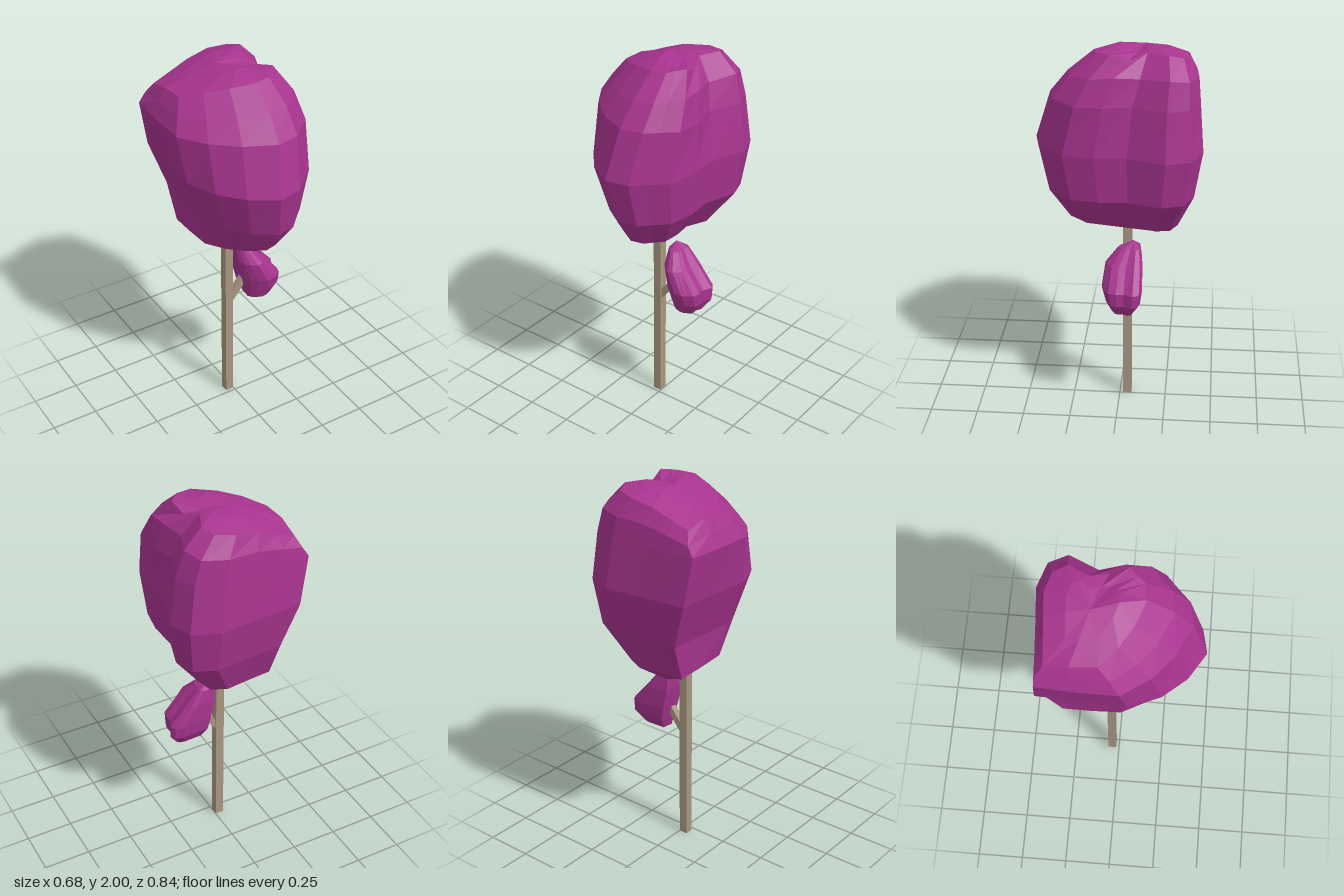
import * as THREE from 'three';

const leafMaterial = new THREE.MeshStandardMaterial({ color: 0xa8348f, flatShading: true });
const woodMaterial = new THREE.MeshStandardMaterial({ color: 0xa8967f, flatShading: true });

// Lopsided foliage outline in unit x/z: back left corner, back, right (with a groove), front, left
const outline = [
  [-0.93, -0.91], [-0.55, -0.93], [-0.08, -0.96], [0.45, -1], [0.87, -0.87], [1, -0.58],
  [0.8, -0.13], [0.84, 0.25], [0.75, 0.62], [0.49, 0.8], [0.3, 0.94], [-0.07, 1],
  [-0.49, 0.8], [-0.8, 0.52], [-1, 0.15], [-0.96, -0.4],
];

// Stacks scaled outlines between two tips.
// Ring: [y, xMin, xMax, zMin, zMax, tilt, shift of the front towards +x]
function foliage(name, bottom, rings, top, adjustY = (x, y) => y) {
  const n = outline.length;
  const positions = [...bottom];
  for (const [y, x0, x1, z0, z1, tilt = 0, shift = 0] of rings) {
    for (const [u, v] of outline) {
      const x = (x0 + x1) / 2 + (u * (x1 - x0)) / 2 + shift * Math.max(0, v);
      const z = (z0 + z1) / 2 + (v * (z1 - z0)) / 2;
      positions.push(x, adjustY(x, y + tilt * z, z), z);
    }
  }
  positions.push(...top);

  const index = [];
  const last = 1 + rings.length * n;
  for (let j = 0; j < n; j++) {
    const k = (j + 1) % n;
    index.push(0, 1 + j, 1 + k);
    for (let i = 0; i < rings.length - 1; i++) {
      const a = 1 + i * n + j, b = 1 + i * n + k;
      index.push(a, a + n, b, b, a + n, b + n);
    }
    index.push(last - n + j, last, last - n + k);
  }
  const indexed = new THREE.BufferGeometry();
  indexed.setAttribute('position', new THREE.Float32BufferAttribute(positions, 3));
  indexed.setIndex(index);
  const geometry = indexed.toNonIndexed();
  geometry.computeVertexNormals();
  const mesh = new THREE.Mesh(geometry, leafMaterial);
  mesh.name = name;
  return mesh;
}

// Square beam from one point to another
function beam(name, from, to, width) {
  const a = new THREE.Vector3(...from), b = new THREE.Vector3(...to);
  const mesh = new THREE.Mesh(new THREE.BoxGeometry(width, a.distanceTo(b), width), woodMaterial);
  mesh.position.copy(a).add(b).multiplyScalar(0.5);
  mesh.quaternion.setFromUnitVectors(new THREE.Vector3(0, 1, 0), b.clone().sub(a).normalize());
  mesh.name = name;
  return mesh;
}

// Crown top: falls to the left, front and back, with a notch on the right between two lobes
function crownTop(x, y, z) {
  const amount = Math.max(0, (y - 1.75) / 0.25);
  const fall = 0.4 * Math.max(0, -x) + 0.25 * Math.max(0, z) + 0.3 * Math.max(0, -0.2 - z);
  const notch = 0.05 * THREE.MathUtils.clamp(x / 0.15, 0, 1) * Math.exp(-(((z + 0.07) / 0.07) ** 2));
  return y - amount * (fall + notch);
}

export function createModel() {
  const tree = new THREE.Group();
  tree.name = 'tree';

  tree.add(beam('trunk', [-0.024, 0, -0.04], [-0.024, 1.1, -0.04], 0.046));
  tree.add(beam('branch', [-0.024, 0.61, -0.04], [0.11, 0.78, -0.04], 0.035));

  tree.add(foliage('crown', [-0.02, 0.98, -0.19], [
    [1.085, -0.2, 0.17, -0.3, 0.26, 0.08, 0.05],
    [1.26, -0.22, 0.31, -0.38, 0.365],
    [1.5, -0.305, 0.345, -0.42, 0.42],
    [1.75, -0.35, 0.315, -0.4, 0.34, 0, 0.07],
    [1.9, -0.315, 0.275, -0.39, 0.25, 0, 0.08],
    [2, -0.28, 0.18, -0.345, 0.12, 0, 0.11],
    [2, -0.16, 0.1, -0.24, 0, 0, 0.05],
  ], [-0.03, 1.985, -0.13], crownTop));

  // Small leaning tuft at the end of the branch
  tree.add(foliage('sideTuft', [0.14, 0.585, -0.02], [
    [0.615, 0.09, 0.235, -0.08, 0.03],
    [0.68, 0.07, 0.28, -0.12, 0.06],
    [0.75, 0.055, 0.28, -0.13, 0.08],
    [0.86, 0.035, 0.185, -0.128, 0.065],
    [0.935, 0.035, 0.12, -0.115, 0],
  ], [0.06, 0.965, -0.075]));

  return tree;
}
